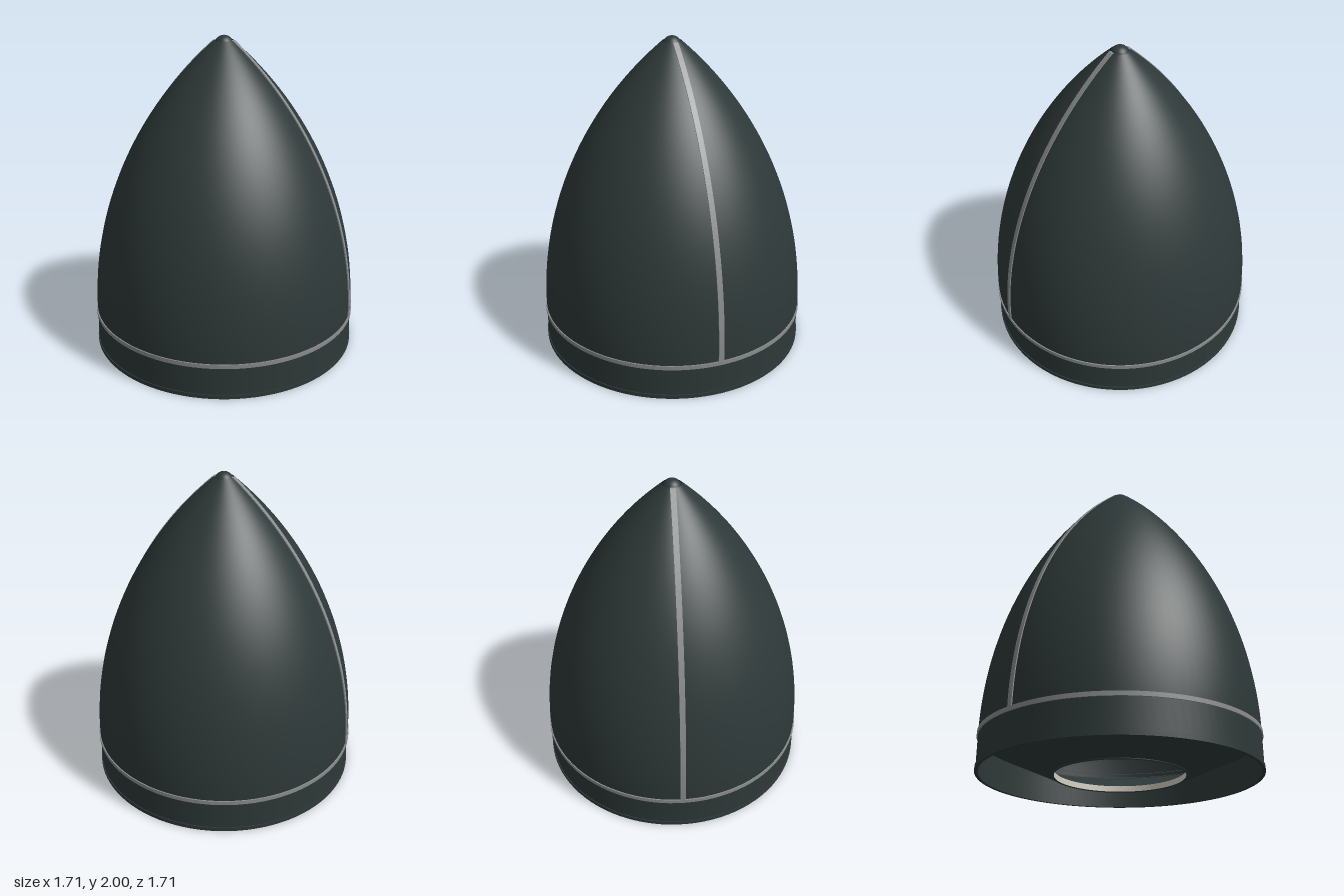
import * as THREE from 'three';

const R = 0.85, BASE = 0.22, LENGTH = 1.8, TIP = 1.97;
const RHO = (R * R + LENGTH * LENGTH) / (2 * R);
const SEGMENTS = 96;

// radius of the ogive at height y
const ogive = (y) => Math.sqrt(RHO * RHO - (y - BASE) ** 2) - (RHO - R);

// ogive profile from y0 to y1, moved outwards by offset
function profile(y0, y1, offset, n = 40) {
  const pts = [];
  for (let i = 0; i <= n; i++) {
    const y = y0 + ((y1 - y0) * i) / n;
    pts.push(new THREE.Vector2(Math.max(ogive(y) + offset, 0.001), y));
  }
  return pts;
}

export function createModel() {
  const flat = (name, color) => {
    const m = new THREE.MeshStandardMaterial({ color, side: THREE.DoubleSide });
    m.name = name;
    return m;
  };
  const dark = flat('charcoal', 0x2e3838);
  const grey = flat('seam grey', 0x8a8c8f);
  const white = flat('liner white', 0xd2cec2);
  const gold = flat('gold', 0xc8912f);

  const group = new THREE.Group();
  group.name = 'noseFairing';
  const add = (name, geometry, material) => {
    const mesh = new THREE.Mesh(geometry, material);
    mesh.name = name;
    group.add(mesh);
    return mesh;
  };
  const revolve = (name, pts, material) =>
    add(name, new THREE.LatheGeometry(pts.map((p) => (p.isVector2 ? p : new THREE.Vector2(...p))), SEGMENTS), material);

  // curved strip that follows the ogive at an angle around the axis
  function strip(name, angle, y0, y1, inner, outer, width, material) {
    const shape = new THREE.Shape([...profile(y0, y1, outer), ...profile(y0, y1, inner).reverse()]);
    const geo = new THREE.ExtrudeGeometry(shape, { depth: width, bevelEnabled: false });
    geo.translate(0, 0, -width / 2);
    add(name, geo, material).rotation.y = -THREE.MathUtils.degToRad(angle);
  }

  // outer shell and rounded tip
  revolve('shell', profile(BASE, TIP, 0, 60), dark);
  const tip = add('noseTip', new THREE.SphereGeometry(0.06, 32, 20), dark);
  tip.position.y = 1.94;

  // straight skirt with a small lip and an inner wall
  revolve('skirt', [[R, 0.025], [R, BASE]], dark);
  revolve('lipSide', [[0.856, 0], [0.856, 0.025]], dark);
  revolve('lipTop', [[0.856, 0.025], [R, 0.025]], dark);
  revolve('lipBottom', [[0.835, 0], [0.856, 0]], dark);
  revolve('skirtInnerWall', [[0.835, 0.2], [0.835, 0]], dark);

  // separation band around the base
  revolve('band', [[0.857, BASE - 0.013], [0.857, BASE + 0.013]], grey);
  for (const [name, y] of [['bandBottom', BASE - 0.013], ['bandTop', BASE + 0.013]]) {
    revolve(name, [[0.84, y], [0.857, y]], grey);
  }

  // seams between the two halves
  for (const side of [0, 180]) {
    strip('seam', 20.6 + side, BASE, TIP, -0.01, 0.006, 0.034, grey);
  }

  // conical adapter under the shell with its central opening
  revolve('adapterCone', [[0.4, 0.005], [0.835, 0.2]], dark);
  const ring = add('adapterRing', new THREE.TorusGeometry(0.4, 0.007, 8, SEGMENTS), dark);
  ring.rotation.x = Math.PI / 2;
  ring.position.y = 0.007;
  revolve('adapterInnerWall', [[0.393, 0.005], [0.393, 0.04]], white);

  // pale liner inside the shell, with its ribs
  revolve('liner', profile(0.36, 1.85, -0.02), white);
  for (const side of [0, 180]) {
    strip('innerSeamRib', 18 + side, 0.3, 1.85, -0.03, -0.015, 0.08, dark);
    strip('goldRib', 55 + side, 0.3, 1.8, -0.03, -0.015, 0.07, gold);
    strip('darkRib', 60.3 + side, 0.3, 1.8, -0.03, -0.015, 0.08, dark);
  }
  return group;
}
